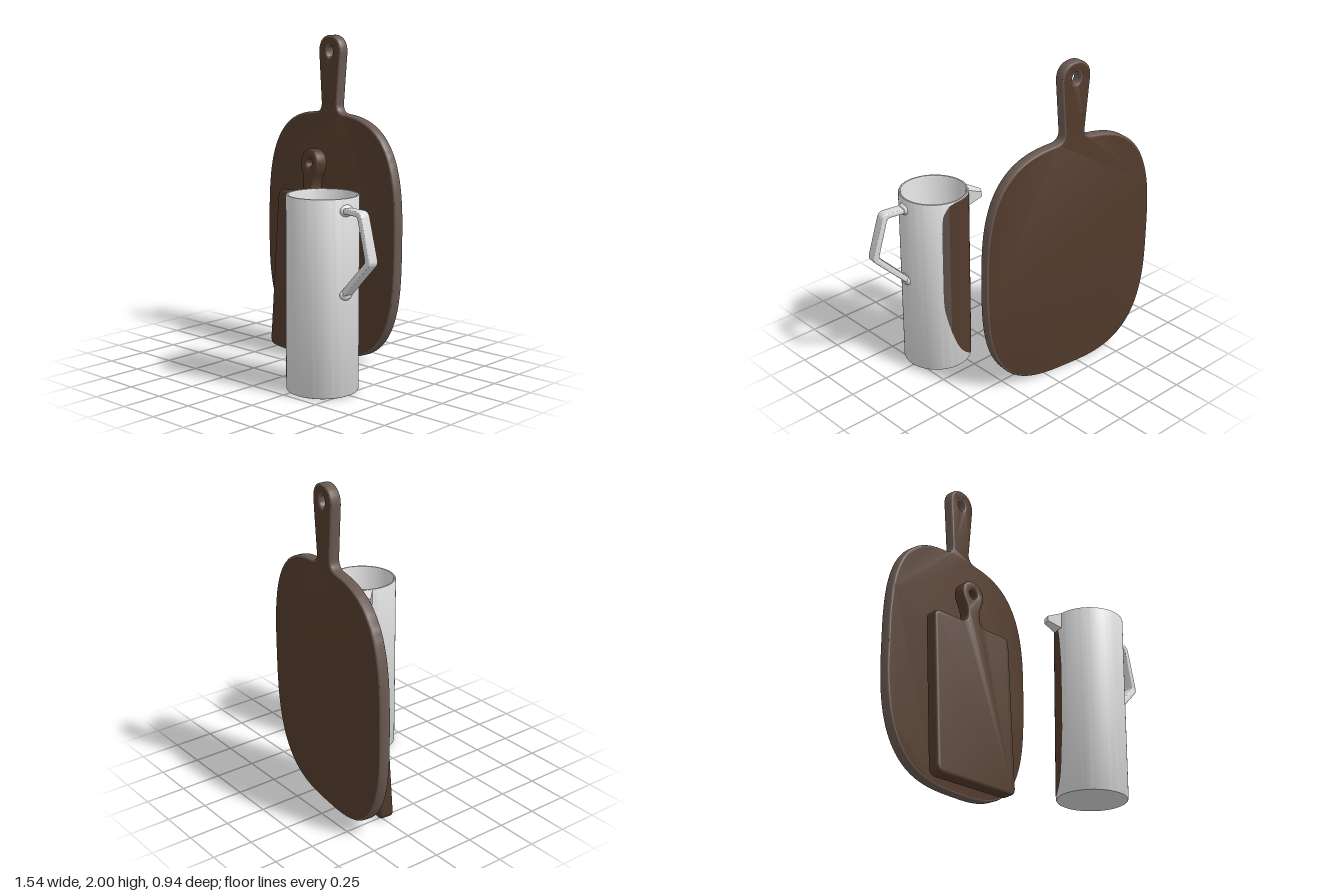
import * as THREE from 'three';
import { toCreasedNormals } from 'three/addons/utils/BufferGeometryUtils.js';

const material = (name, color, side = THREE.FrontSide) =>
  Object.assign(new THREE.MeshStandardMaterial({ color, side }), { name });

function addMesh(parent, name, geometry, mat) {
  const mesh = new THREE.Mesh(geometry, mat);
  mesh.name = name;
  parent.add(mesh);
  return mesh;
}

// Extrude a shape to a total thickness, centred on z, with rounded edges inside the outline
function slab(shape, thickness, bevel) {
  const g = new THREE.ExtrudeGeometry(shape, {
    depth: thickness - 2 * bevel, bevelEnabled: true, bevelThickness: bevel,
    bevelSize: bevel, bevelOffset: -bevel, bevelSegments: 4, curveSegments: 20,
  });
  g.translate(0, 0, -(thickness - 2 * bevel) / 2);
  return toCreasedNormals(g, 0.6);
}

function addHole(shape, x, y, rx, ry) {
  const hole = new THREE.Path();
  hole.absellipse(x, y, rx, ry, 0, Math.PI * 2, true);
  shape.holes.push(hole);
}

// Rounded paddle: superellipse body with a flared handle
function largeBoardShape() {
  const s = new THREE.Shape();
  const power = (v) => Math.sign(v) * Math.abs(v) ** (2 / 3);
  const c = -0.006;
  s.moveTo(c - 0.13, 1.522);
  for (let i = 0; i <= 120; i++) {
    const a = Math.PI / 2 + (i / 120) * Math.PI * 2;
    const x = 0.604 * power(Math.cos(a));
    const y = 0.762 + 0.762 * power(Math.sin(a));
    if (y > 0.762 && Math.abs(x) < 0.15) continue;
    s.lineTo(x, y);
  }
  s.lineTo(c + 0.13, 1.522);
  s.quadraticCurveTo(c + 0.074, 1.527, c + 0.074, 1.58);
  s.lineTo(c + 0.101, 1.89);
  s.bezierCurveTo(c + 0.106, 1.96, c + 0.06, 2, c, 2);
  s.bezierCurveTo(c - 0.06, 2, c - 0.106, 1.96, c - 0.101, 1.89);
  s.lineTo(c - 0.074, 1.58);
  s.quadraticCurveTo(c - 0.074, 1.527, c - 0.13, 1.522);
  addHole(s, c, 1.9, 0.028, 0.036);
  return s;
}

// Rectangular body with rounded corners and a round-headed handle
function smallBoardShape() {
  const s = new THREE.Shape();
  const w = 0.303, h = 1.012, r = 0.05, c = 0.015;
  s.moveTo(-w + r, 0);
  s.lineTo(w - r, 0);
  s.quadraticCurveTo(w, 0, w, r);
  s.lineTo(w, h - r);
  s.quadraticCurveTo(w, h, w - r, h);
  s.lineTo(c + 0.1, h);
  s.bezierCurveTo(c + 0.06, h, c + 0.042, 1.05, c + 0.05, 1.1);
  s.bezierCurveTo(c + 0.055, 1.14, c + 0.086, 1.16, c + 0.086, 1.215);
  s.absarc(c, 1.217, 0.086, 0, Math.PI, false);
  s.bezierCurveTo(c - 0.086, 1.16, c - 0.055, 1.14, c - 0.05, 1.1);
  s.bezierCurveTo(c - 0.042, 1.05, c - 0.06, h, c - 0.1, h);
  s.lineTo(-w + r, h);
  s.quadraticCurveTo(-w, h, -w, h - r);
  s.lineTo(-w, r);
  s.quadraticCurveTo(-w, 0, -w + r, 0);
  addHole(s, c, 1.215, 0.028, 0.028);
  return s;
}

// Thin curved strip around the jug; columns are [angle in degrees, low y, high y]
function curvedPatch(columns, radius, steps) {
  const curve = new THREE.CatmullRomCurve3(columns.map(([a, lo, hi]) => new THREE.Vector3(a / 100, lo, hi)));
  const pos = [], index = [];
  for (let i = 0; i <= steps; i++) {
    const p = curve.getPoint(i / steps);
    const a = THREE.MathUtils.degToRad(p.x * 100);
    for (const y of [p.y, Math.min(p.z, 1.135)]) pos.push(radius * Math.cos(a), y, -radius * Math.sin(a));
    if (i < steps) {
      const k = i * 2;
      index.push(k, k + 2, k + 1, k + 1, k + 2, k + 3);
    }
  }
  const g = new THREE.BufferGeometry();
  g.setAttribute('position', new THREE.Float32BufferAttribute(pos, 3));
  g.setIndex(index);
  g.computeVertexNormals();
  return g;
}

// Beak: a box narrowed and thinned towards its tip, pointing along +x
function spoutGeometry() {
  const g = new THREE.BoxGeometry(1, 1, 1);
  const p = g.attributes.position;
  for (let i = 0; i < p.count; i++) {
    const tip = p.getX(i) > 0, top = p.getY(i) > 0;
    const y = tip ? (top ? 1.112 : 1.08) : (top ? 1.14 : 1.035);
    p.setXYZ(i, tip ? 0.285 : 0.196, y, Math.sign(p.getZ(i)) * (tip ? 0.025 : 0.045));
  }
  return toCreasedNormals(g, 0.3);
}

export function createModel() {
  const model = new THREE.Group();
  model.name = 'boardsAndJug';
  const wood = material('brown wood', 0x523b2c);
  const edge = material('grey brown edge', 0x6a5952);
  const white = material('white glaze', 0xdcdcdc);
  const patchWood = material('brown patch', 0x523b2c, THREE.DoubleSide);
  const patchEdge = material('grey brown patch', 0x5c4f4a, THREE.DoubleSide);

  // Boards, turned and leaning slightly back
  const large = addMesh(model, 'largeBoard', slab(largeBoardShape(), 0.066, 0.012), [wood, edge]);
  large.rotation.set(-0.008, -0.116, 0, 'YXZ');
  large.position.set(-0.17, 0, -0.363);

  const small = addMesh(model, 'smallBoard', slab(smallBoardShape(), 0.084, 0.016), wood);
  small.rotation.set(-0.065, -0.2, 0, 'YXZ');
  small.position.set(-0.25, 0.003, -0.177);

  // Jug
  const jug = new THREE.Group();
  jug.name = 'jug';
  jug.position.set(0.328, 0, 0.258);
  model.add(jug);

  const profile = [
    [0, 0], [0.2, 0], [0.206, 0.003], [0.209, 0.01], [0.209, 1.132], [0.206, 1.139], [0.201, 1.141],
    [0.195, 1.139], [0.191, 1.13], [0.191, 0.05], [0.186, 0.04], [0, 0.04],
  ].map(([x, y]) => new THREE.Vector2(x, y));
  addMesh(jug, 'jugBody', toCreasedNormals(new THREE.LatheGeometry(profile, 96), 0.7), white);

  const spout = addMesh(jug, 'spout', spoutGeometry(), white);
  spout.rotation.y = Math.PI - 0.57;

  // Angular handle with rounded lugs where it meets the wall
  const handle = new THREE.Group();
  handle.name = 'jugHandle';
  handle.rotation.y = -0.14;
  jug.add(handle);
  const h = new THREE.Shape();
  h.moveTo(0.2, 1.088);
  h.lineTo(0.325, 1.088);
  h.quadraticCurveTo(0.36, 1.086, 0.37, 1.055);
  h.lineTo(0.437, 0.825);
  h.quadraticCurveTo(0.441, 0.805, 0.428, 0.79);
  h.lineTo(0.2, 0.568);
  h.lineTo(0.2, 0.617);
  h.lineTo(0.39, 0.805);
  h.quadraticCurveTo(0.4, 0.815, 0.396, 0.83);
  h.lineTo(0.338, 1.035);
  h.quadraticCurveTo(0.332, 1.056, 0.31, 1.056);
  h.lineTo(0.2, 1.056);
  addMesh(handle, 'handleGrip', slab(h, 0.066, 0.008), white);
  for (const y of [1.072, 0.598]) {
    const lug = addMesh(handle, 'handleLug', new THREE.SphereGeometry(1, 24, 16), white);
    lug.scale.set(0.022, 0.034, 0.045);
    lug.position.set(0.208, y, 0);
  }

  // Brown patch on the back of the jug with a greyer leading border
  addMesh(jug, 'patchBorder', curvedPatch(
    [[63, 0.5, 0.95], [65, 0.42, 1.05], [70, 0.34, 1.09], [76, 0.26, 1.12]], 0.2105, 12), patchEdge);
  addMesh(jug, 'patchCentre', curvedPatch(
    [[76, 0.26, 1.12], [90, 0.14, 1.135], [110, 0.06, 1.135], [135, 0.02, 1.12], [150, 0.1, 1.03], [158, 0.4, 0.8]],
    0.2105, 36), patchWood);

  return model;
}
